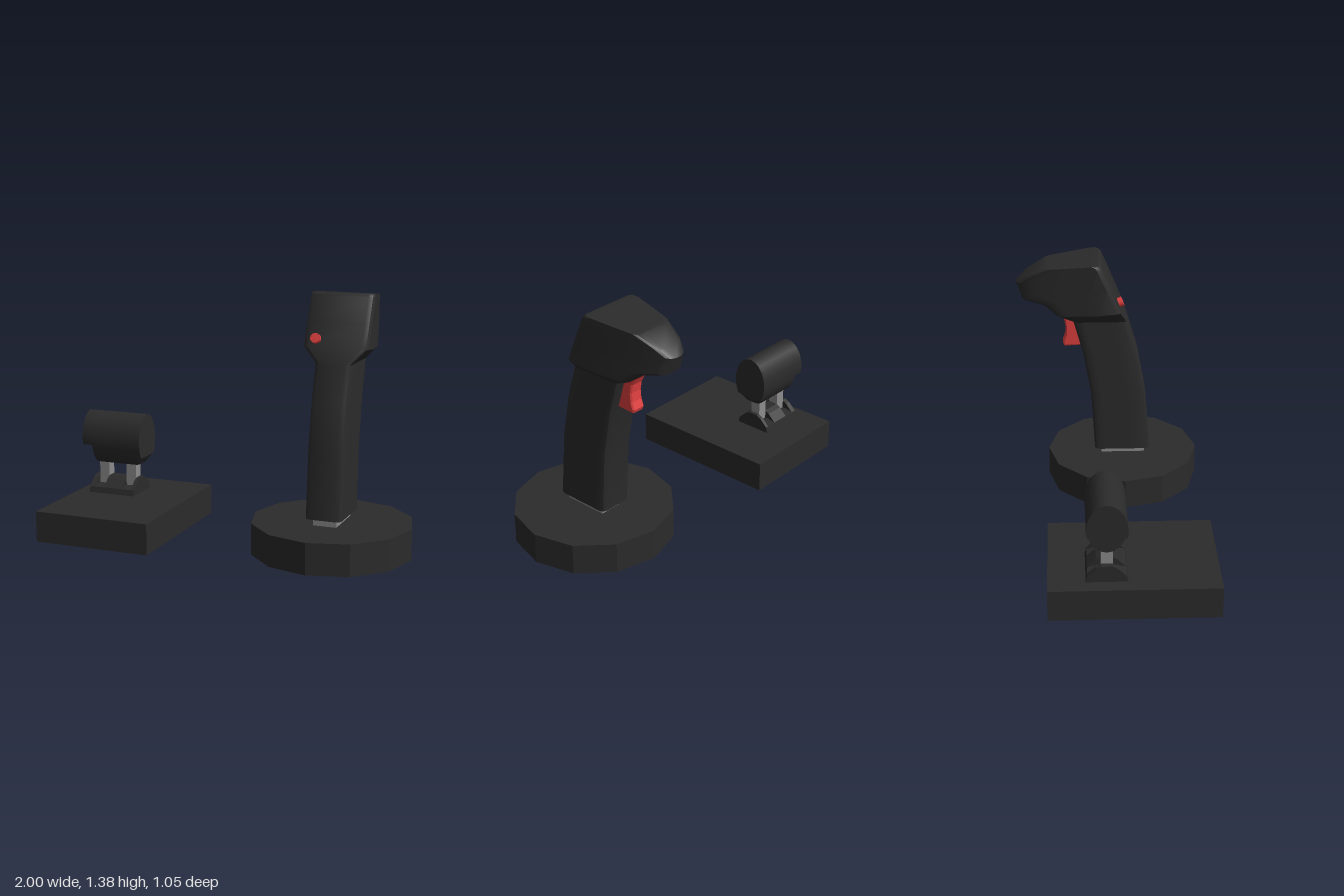
import * as THREE from 'three';
import { toCreasedNormals } from 'three/addons/utils/BufferGeometryUtils.js';

const mat = (color, flatShading = false) => new THREE.MeshStandardMaterial({ color, flatShading });
const DARK = 0x2b2b2b, GREY = 0x8c8c8c, RED = 0xe04040;

function add(parent, name, geometry, color, x = 0, y = 0, z = 0, flat = false) {
  const mesh = new THREE.Mesh(geometry, mat(color, flat));
  mesh.name = name;
  mesh.position.set(x, y, z);
  parent.add(mesh);
  return mesh;
}

// Extrudes a (z, y) side outline along x, centred on x = 0
function sideExtrude(points, width, bevel = 0) {
  const shape = new THREE.Shape(points.map(([z, y]) => new THREE.Vector2(-z, y)));
  const geo = new THREE.ExtrudeGeometry(shape, {
    depth: width - 2 * bevel, bevelEnabled: bevel > 0,
    bevelSize: bevel, bevelThickness: bevel, bevelOffset: -bevel, bevelSegments: 1,
  });
  return geo.translate(0, 0, bevel - width / 2).rotateY(Math.PI / 2);
}

// Half width of the head at depth z: it narrows towards the back
const TAPER = [[-0.53, 0.045], [-0.5, 0.066], [-0.45, 0.092], [-0.37, 0.115], [-0.3, 0.132], [-0.065, 0.178]];
function headWidth(z) {
  if (z <= TAPER[0][0]) return TAPER[0][1];
  for (let i = 1; i < TAPER.length; i++) {
    const [z0, w0] = TAPER[i - 1], [z1, w1] = TAPER[i];
    if (z < z1) return w0 + (w1 - w0) * (z - z0) / (z1 - z0);
  }
  return 0.178;
}

// Rounded sections, each running from a front point to a back point (z, y)
function gripGeometry() {
  const sections = [
    [0.24, 0.21, -0.085, 0.21], [0.21, 0.58, -0.105, 0.56], [0.165, 0.82, -0.15, 0.82],
    [0.105, 1.02, -0.205, 1.02], [0.07, 1.1, -0.3, 1.07], [0.015, 1.235, -0.375, 1.13],
    [-0.038, 1.36, -0.49, 1.15], [-0.046, 1.372, -0.527, 1.245], [-0.06, 1.38, -0.48, 1.287],
    [-0.075, 1.38, -0.37, 1.345],
  ];
  const pos = [], idx = [], r = 0.03;
  let n = 0;
  sections.forEach(([fz, fy, bz, by], s) => {
    const len = Math.hypot(bz - fz, by - fy);
    const side = [[0, r], [0.3 * r, 0.3 * r], [r, 0], [len * 0.35, 0], [len * 0.6, 0], [len * 0.8, 0],
      [len - r, 0], [len - 0.3 * r, 0.3 * r], [len, r]].map(([d, inset]) => {
      const t = d / len, z = fz + (bz - fz) * t;
      return [(s < 4 ? 0.1 : headWidth(z)) - inset, fy + (by - fy) * t, z];
    });
    const loop = [...side, ...side.slice().reverse().map(([x, y, z]) => [-x, y, z])];
    n = loop.length;
    pos.push(...loop.flat());
  });
  const last = (sections.length - 1) * n;
  for (let s = 0; s < last; s += n) {
    for (let i = 0; i < n; i++) {
      const a = s + i, b = s + (i + 1) % n;
      idx.push(a, b, b + n, a, b + n, a + n);
    }
  }
  // Caps, as strips between the mirrored sides
  for (let i = 0; i < n / 2 - 1; i++) {
    const j = n - 1 - i;
    idx.push(last + i, last + i + 1, last + j - 1, last + i, last + j - 1, last + j);
    idx.push(i, j - 1, i + 1, i, j, j - 1);
  }
  const geo = new THREE.BufferGeometry();
  geo.setAttribute('position', new THREE.Float32BufferAttribute(pos, 3));
  geo.setIndex(idx);
  return toCreasedNormals(geo, 0.5);
}

// Oval bar along x, its underside cut to a floor height at each station
function throttleHandleGeometry() {
  const stations = [[-0.96, 0.45], [-0.9, 0.45], [-0.9, 0.33], [-0.65, 0.335], [-0.628, 0.348], [-0.6, 0.39]];
  const geo = new THREE.CylinderGeometry(1, 1, 5, 20, 5);
  geo.rotateZ(-Math.PI / 2);
  const p = geo.attributes.position;
  for (let i = 0; i < p.count; i++) {
    const [x, floor] = stations[Math.round(p.getX(i) + 2.5)];
    p.setXYZ(i, x, Math.max(floor, 0.484 + 0.152 * p.getY(i)), -0.06 + 0.106 * p.getZ(i));
  }
  return toCreasedNormals(geo, 0.5);
}

function createStick() {
  const stick = new THREE.Group();
  stick.name = 'stick';
  stick.position.x = 0.56;
  add(stick, 'stickBase', new THREE.CylinderGeometry(0.44, 0.44, 0.172, 12), DARK, 0, 0.086, 0.08, true);
  add(stick, 'stickNeck', new THREE.BoxGeometry(0.13, 0.06, 0.255), GREY, 0, 0.19, 0.082);
  add(stick, 'grip', gripGeometry(), DARK, -0.004);

  const trigger = [[-0.31, 1.08], [-0.275, 1.045], [-0.256, 1.01], [-0.248, 0.96], [-0.252, 0.91],
    [-0.266, 0.87], [-0.258, 0.85], [-0.14, 0.855], [-0.18, 1.08]];
  add(stick, 'trigger', sideExtrude(trigger, 0.08, 0.008), RED, 0, 0, 0, true);

  const button = add(stick, 'thumbButton', new THREE.CylinderGeometry(0.027, 0.027, 0.04, 16), RED, -0.11, 1.144, 0.056);
  button.rotation.x = Math.atan2(0.924, 0.38);
  return stick;
}

function createThrottle() {
  const throttle = new THREE.Group();
  throttle.name = 'throttle';
  add(throttle, 'throttleBase', new THREE.BoxGeometry(0.67, 0.172, 0.885), DARK, -0.665, 0.086, 0.08);
  add(throttle, 'throttleHandle', throttleHandleGeometry(), DARK);

  // Domed bracket in slabs, the two low ones forming slots for the posts
  const half = [[0.11, 0.165], [0.1, 0.205], [0.055, 0.248], [0.028, 0.262]];
  const edges = [-0.92, -0.89, -0.83, -0.72, -0.66, -0.64];
  for (let i = 0; i < 5; i++) {
    const top = i % 2 ? 0.215 : 1;
    const right = half.map(([z, y]) => [-0.06 - z, Math.min(y, top)]);
    const left = half.map(([z, y]) => [-0.06 + z, Math.min(y, top)]).reverse();
    const outline = [...right, ...left].reverse();
    add(throttle, 'bracketSlab', sideExtrude(outline, edges[i + 1] - edges[i]), DARK, (edges[i] + edges[i + 1]) / 2, 0, 0, true);
  }
  for (const x of [-0.86, -0.69]) {
    add(throttle, 'throttlePost', new THREE.BoxGeometry(0.06, 0.17, 0.06), GREY, x, 0.29, -0.06);
  }
  return throttle;
}

export function createModel() {
  const model = new THREE.Group();
  model.name = 'flightControls';
  model.add(createStick(), createThrottle());
  return model;
}
